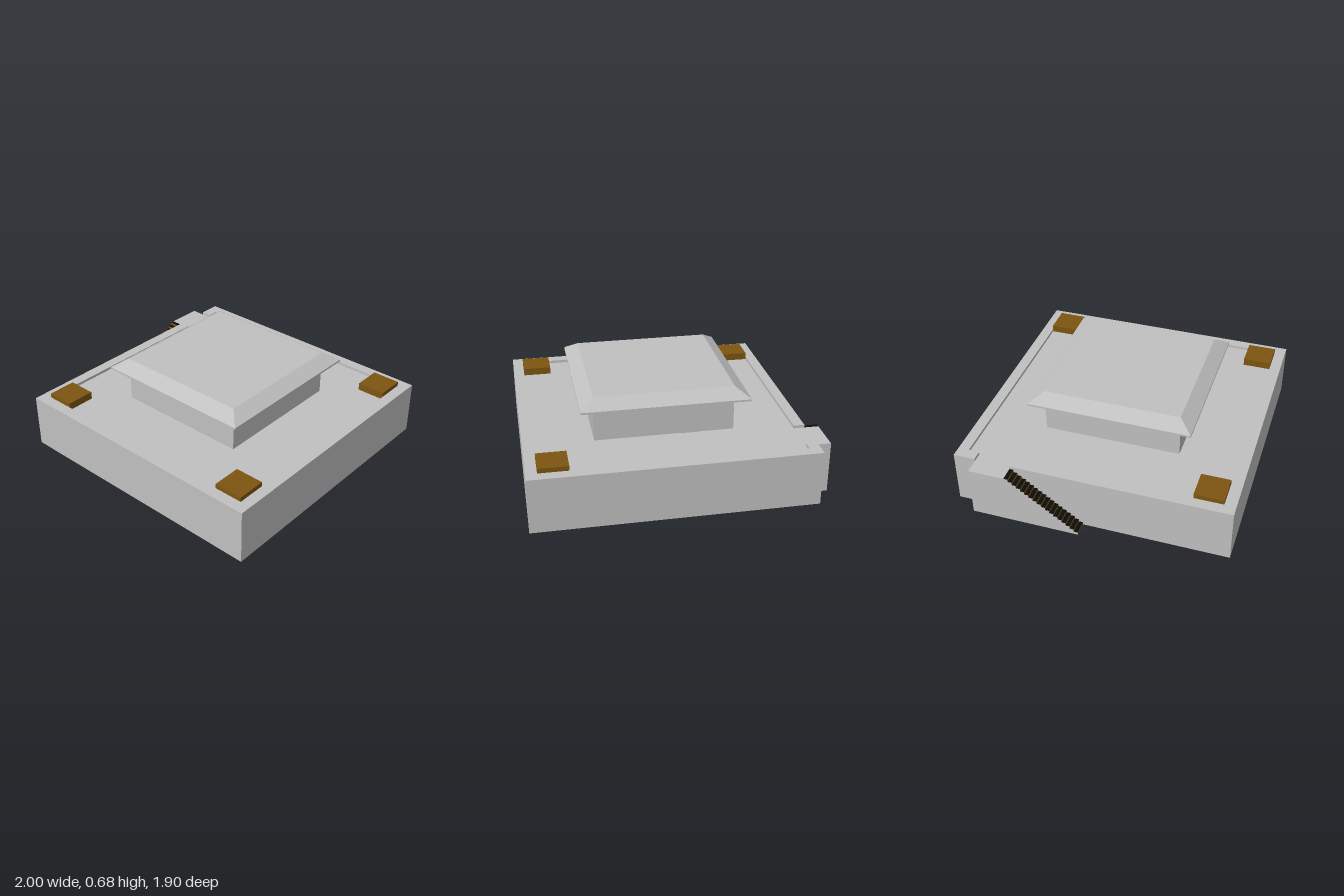
import * as THREE from 'three';

export function createModel() {
  const model = new THREE.Group();
  const side = THREE.DoubleSide;
  const make = (name, color) => {
    const m = new THREE.MeshStandardMaterial({ color, side });
    m.name = name;
    return m;
  };
  const grey = make('concrete grey', 0xc0c0c0);
  const brown = make('wood brown', 0x7d5510);
  const black = make('tread black', 0x0c0c0c);

  const add = (name, geometry, material, parent = model) => {
    const mesh = new THREE.Mesh(geometry, material);
    mesh.name = name;
    parent.add(mesh);
    return mesh;
  };
  // Box given by its minimum and maximum corners
  const box = (name, material, x0, x1, y0, y1, z0, z1, parent) => {
    const mesh = add(name, new THREE.BoxGeometry(x1 - x0, y1 - y0, z1 - z0), material, parent);
    mesh.position.set((x0 + x1) / 2, (y0 + y1) / 2, (z0 + z1) / 2);
    return mesh;
  };
  const shapeOf = (points) => new THREE.Shape(points.map(([x, y]) => new THREE.Vector2(x, y)));

  const FLOOR = 0.36, RIM = 0.38;

  // Platform with a low parapet, open where the stair arrives
  box('platform', grey, -0.9, 1, 0, FLOOR, -0.95, 0.95);
  const rim = shapeOf([
    [-0.9, -0.8], [-0.9, -0.95], [1, -0.95], [1, 0.95], [-0.9, 0.95], [-0.9, -0.55],
    [-0.825, -0.55], [-0.825, 0.872], [0.925, 0.872], [0.925, -0.875], [-0.825, -0.875], [-0.825, -0.8],
  ]);
  const rimGeometry = new THREE.ExtrudeGeometry(rim, { depth: RIM - FLOOR, bevelEnabled: false });
  rimGeometry.rotateX(Math.PI / 2);
  add('parapet', rimGeometry, grey).position.y = RIM;

  // Planters in three of the corners
  for (const [x, z] of [[0.725, -0.875], [0.725, 0.672], [-0.825, 0.672]]) {
    box('planter', brown, x, x + 0.2, FLOOR, 0.412, z, z + 0.2);
  }

  // Central building and its door
  box('building', grey, -0.422, 0.525, FLOOR, 0.6, -0.475, 0.475);
  box('door', grey, -0.175, -0.07, FLOOR, 0.56, -0.479, -0.473);
  box('doorHandle', grey, -0.155, -0.14, 0.455, 0.46, -0.484, -0.478);

  // Roof: thin eave slab under a truncated pyramid
  box('eave', grey, -0.517, 0.617, 0.6, 0.613, -0.567, 0.567);
  const roofGeometry = new THREE.CylinderGeometry(0.474 * Math.SQRT2, 0.567 * Math.SQRT2, 0.062, 4)
    .rotateY(Math.PI / 4).toNonIndexed();
  roofGeometry.computeVertexNormals();
  add('roof', roofGeometry, grey).position.set(0.05, 0.644, 0);

  // Side stair, open beneath: landing, end wall, stepped outer wall, treads and risers
  const stair = new THREE.Group();
  stair.name = 'stair';
  model.add(stair);
  const steps = 18, rise = FLOOR / steps, run = 0.5 / steps;
  box('landing', grey, -1, -0.9, FLOOR - 0.005, FLOOR, -0.8, -0.55, stair);
  box('landingEndWall', grey, -1, -0.9, 0, FLOOR, -0.8, -0.795, stair);
  const outline = [[-0.8, 0], [-0.8, FLOOR], [-0.55, FLOOR]];
  for (let i = 0; i < steps; i++) {
    const y = FLOOR - i * rise, z = -0.55 + (i + 1) * run;
    outline.push([z, y], [z, y - rise]);
    const tread = add('tread', new THREE.PlaneGeometry(0.1, run).rotateX(-Math.PI / 2), black, stair);
    tread.position.set(-0.95, y, z - run / 2);
    const riser = add('riser', new THREE.PlaneGeometry(0.1, rise), brown, stair);
    riser.position.set(-0.95, y - rise / 2, z);
  }
  const wall = add('stairSideWall', new THREE.ShapeGeometry(shapeOf(outline)).rotateY(-Math.PI / 2), grey, stair);
  wall.position.x = -1;

  return model;
}
